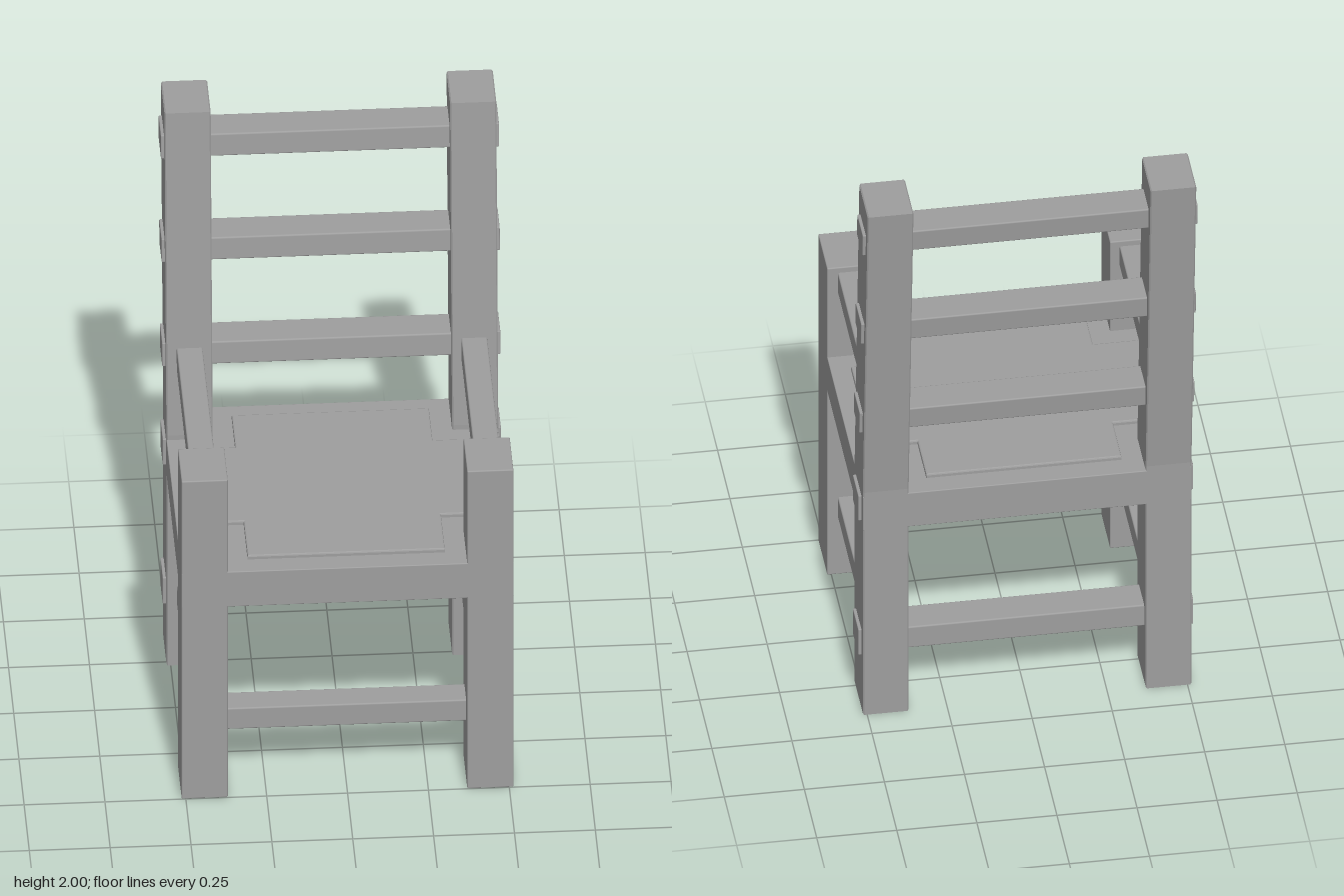
import * as THREE from 'three';
import { RoundedBoxGeometry } from 'three/addons/geometries/RoundedBoxGeometry.js';

const LEAN_START = 0.86;
const LEAN = 0.098 / (2 - LEAN_START);

export function createModel() {
  const group = new THREE.Group();
  const material = new THREE.MeshStandardMaterial({ color: 0x9e9e9e });

  const add = (name, geometry) => {
    const mesh = new THREE.Mesh(geometry, material);
    mesh.name = name;
    group.add(mesh);
    return mesh;
  };

  // Softened box given by its minimum and maximum on each axis, sheared back by lean
  const bar = (name, [x0, x1], [y0, y1], [z0, z1], radius = 0.005, lean = 0) => {
    const g = new RoundedBoxGeometry(x1 - x0, y1 - y0, z1 - z0, 2, radius);
    g.applyMatrix4(new THREE.Matrix4().makeShear(0, 0, 0, -lean, 0, 0));
    g.translate((x0 + x1) / 2, (y0 + y1) / 2, (z0 + z1) / 2);
    return add(name, g);
  };

  const shapeOf = (points) => new THREE.Shape(points.map(([x, y]) => new THREE.Vector2(x, y)));

  // Back post outline in z and y: upright below the seat, leaning above it
  const postShape = shapeOf([
    [-0.403, 0], [-0.23, 0], [-0.23, LEAN_START], [-0.325, 2], [-0.501, 2], [-0.403, LEAN_START],
  ]);
  const bevel = 0.004;
  const postGeometry = new THREE.ExtrudeGeometry(postShape, {
    depth: 0.143 - 2 * bevel, bevelEnabled: true, bevelSize: bevel,
    bevelThickness: bevel, bevelOffset: -bevel, bevelSegments: 1,
  });
  postGeometry.translate(0, 0, -(0.0715 - bevel)).rotateY(-Math.PI / 2);

  for (const [side, s] of [['left', 1], ['right', -1]]) {
    const span = (a, b) => (s > 0 ? [a, b] : [-b, -a]);
    add(side + 'BackPost', postGeometry).position.x = s * 0.4415;
    bar(side + 'FrontLeg', span(0.37, 0.513), [0, 1.187], [0.319, 0.5], 0.004);
    bar(side + 'Armrest', span(0.4, 0.48), [1.09, 1.167], [-0.32, 0.36]);
    bar(side + 'Stretcher', span(0.4, 0.48), [0.22, 0.298], [-0.28, 0.36]);
  }

  // Seat block, flush with the outside of the legs
  bar('seatFrame', [-0.513, 0.513], [0.713, 0.843], [-0.403, 0.5], 0.003);

  // Raised seat panel with notched corners
  const panelShape = shapeOf([
    [-0.305, -0.435], [0.305, -0.435], [0.305, -0.245], [0.45, -0.245],
    [0.45, 0.16], [0.305, 0.16], [0.305, 0.335], [-0.305, 0.335],
    [-0.305, 0.16], [-0.45, 0.16], [-0.45, -0.245], [-0.305, -0.245],
  ]);
  const panel = new THREE.ExtrudeGeometry(panelShape, {
    depth: 0.016, bevelEnabled: true, bevelSize: 0.005,
    bevelThickness: 0.005, bevelOffset: -0.005, bevelSegments: 2,
  });
  panel.rotateX(-Math.PI / 2).translate(0, 0.836, 0);
  add('seatPanel', panel);

  // Front stretcher
  bar('frontStretcher', [-0.4, 0.4], [0.22, 0.298], [0.36, 0.45]);

  // Rear rails: the outer ends show as tenons through the posts
  const rail = (name, y, h, tenonH, lean) => {
    const z = -0.316 - LEAN * Math.max(0, y - LEAN_START);
    bar(name, [-0.4, 0.4], [y - h / 2, y + h / 2], [z - 0.055, z + 0.055], 0.005, lean);
    for (const s of [-1, 1]) {
      const x = s > 0 ? [0.4, 0.523] : [-0.523, -0.4];
      bar(name + 'Tenon', x, [y - tenonH / 2, y + tenonH / 2], [z - 0.056, z + 0.056], 0.003, lean);
    }
  };
  rail('rearStretcher', 0.259, 0.08, 0.098, 0);
  rail('rearSeatRail', 0.778, 0.08, 0.096, 0);
  [1.126, 1.494, 1.86].forEach((y) => rail('backSlat', y, 0.078, 0.082, LEAN));

  return group;
}
